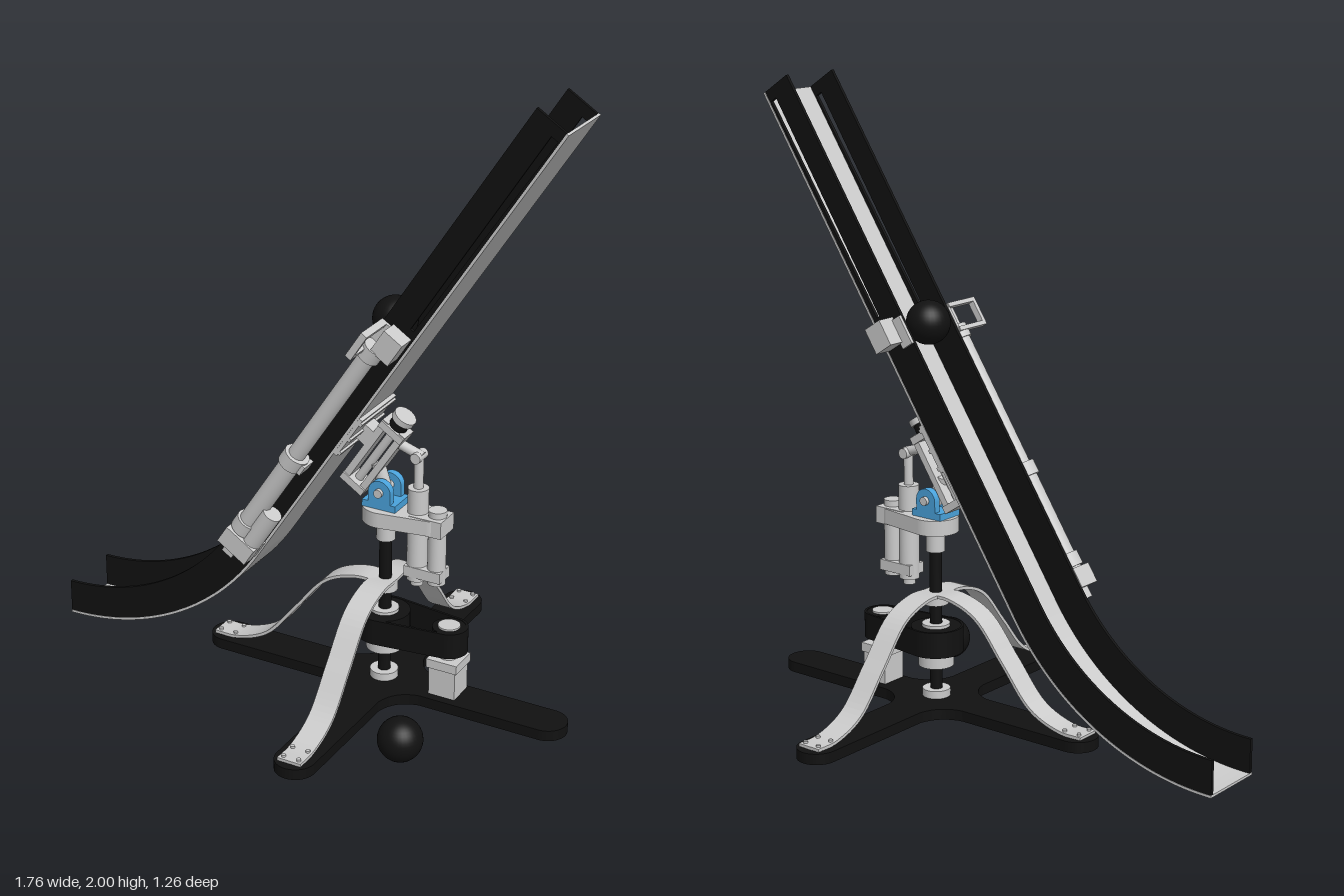
import * as THREE from 'three';

const grey = new THREE.MeshStandardMaterial({ color: 0xcccccc, side: THREE.DoubleSide });
const black = new THREE.MeshStandardMaterial({ color: 0x111111 });
const blue = new THREE.MeshStandardMaterial({ color: 0x4aa3dc });

const TILT = THREE.MathUtils.degToRad(57);
const CX = 0.245; // stand axis

function add(parent, name, geo, mat, x = 0, y = 0, z = 0) {
  const m = new THREE.Mesh(geo, mat);
  m.name = name;
  m.position.set(x, y, z);
  parent.add(m);
  return m;
}
// Box from min/max ranges
function box(parent, name, mat, [x0, x1], [y0, y1], [z0, z1]) {
  return add(parent, name, new THREE.BoxGeometry(x1 - x0, y1 - y0, z1 - z0), mat,
    (x0 + x1) / 2, (y0 + y1) / 2, (z0 + z1) / 2);
}
// Cylinder between two points
function rod(parent, name, mat, a, b, r, seg = 24) {
  const p = new THREE.Vector3(...a), q = new THREE.Vector3(...b), d = q.clone().sub(p);
  const m = add(parent, name, new THREE.CylinderGeometry(r, r, d.length(), seg), mat);
  m.position.copy(p).add(q).multiplyScalar(0.5);
  m.quaternion.setFromUnitVectors(new THREE.Vector3(0, 1, 0), d.normalize());
  return m;
}
const extrude = (shape, depth) =>
  new THREE.ExtrudeGeometry(shape, { depth, bevelEnabled: false, curveSegments: 32 });

// Start of the straight run; slope(u, n) = along and above the ramp floor
const R = 0.867, ARC = { x: -0.88, y: 0.01 + R };
const A = { x: ARC.x + R * Math.sin(TILT), y: ARC.y - R * Math.cos(TILT) };
const LENGTH = 1.827;
const slope = (u, n) => new THREE.Vector2(
  A.x + u * Math.cos(TILT) - n * Math.sin(TILT),
  A.y + u * Math.sin(TILT) + n * Math.cos(TILT));

// Side outline of the ramp between two heights above its floor
function rampShape(n0, n1) {
  const s = new THREE.Shape(), e0 = slope(LENGTH, n0), e1 = slope(LENGTH, n1), t = -Math.PI / 2;
  s.moveTo(ARC.x, ARC.y - R + n0);
  s.absarc(ARC.x, ARC.y, R - n0, t, t + TILT, false);
  s.lineTo(e0.x, e0.y);
  s.lineTo(e1.x, e1.y);
  s.absarc(ARC.x, ARC.y, R - n1, t + TILT, t, true);
  s.closePath();
  return s;
}

function makeRamp() {
  const g = new THREE.Group();
  g.name = 'ramp';
  g.rotation.y = 0.005;
  add(g, 'rampFloor', extrude(rampShape(0, 0.008), 0.224), grey, 0, 0, -0.112);
  const wall = rampShape(0.004, 0.117);
  wall.holes.push(new THREE.Path([slope(1.02, 0.024), slope(1.02, 0.036), slope(1.79, 0.038), slope(1.79, 0.014)]));
  for (const s of [-1, 1]) add(g, 'rampWall', extrude(wall, 0.011), black, 0, 0, s * 0.105 - 0.0055);

  // Everything fixed to the straight run, in slope coordinates
  const m = new THREE.Group();
  m.name = 'rampFittings';
  m.position.set(A.x, A.y, 0);
  m.rotation.z = TILT;
  g.add(m);

  // Side actuator
  const Z = 0.143;
  rod(m, 'actuatorTube', grey, [0.33, 0.085, Z], [0.9, 0.085, Z], 0.028);
  rod(m, 'actuatorBody', grey, [0.06, 0.083, Z], [0.4, 0.083, Z], 0.033);
  rod(m, 'actuatorMotor', grey, [0.0, 0.035, Z + 0.008], [0.2, 0.035, Z + 0.008], 0.032);
  for (const [u, r] of [[0.385, 0.042], [0.07, 0.042], [0.87, 0.036]])
    rod(m, 'actuatorCollar', grey, [u, 0.083, Z], [u + 0.045, 0.083, Z], r);
  box(m, 'gearCase', grey, [0.0, 0.065], [0.005, 0.12], [0.108, 0.188]);
  box(m, 'lowerMount', grey, [-0.035, 0.01], [0.055, 0.095], [0.11, 0.165]);
  box(m, 'tubeClamp', grey, [0.39, 0.425], [0.035, 0.08], [0.11, 0.165]);

  // Ball gate: cheek plates and square handle
  for (const s of [-1, 1]) {
    const z = s > 0 ? [0.111, 0.172] : [-0.175, -0.111];
    box(m, 'gatePlate', grey, [0.91, 0.995], [0.015, 0.085], z);
    box(m, 'gateCheek', grey, [0.89, 0.985], [0.075, 0.118], s > 0 ? [0.111, 0.121] : [-0.121, -0.111]);
  }
  for (const u of [0.897, 0.98]) box(m, 'handleArm', grey, [u - 0.007, u + 0.007], [0.1, 0.122], [0.115, 0.245]);
  box(m, 'handleBar', grey, [0.89, 0.987], [0.1, 0.122], [0.233, 0.247]);

  // Tilt frame below the ramp
  box(m, 'mountPlate', grey, [0.5, 0.66], [-0.012, 0], [-0.111, 0.111]);
  for (const u of [0.515, 0.575, 0.645]) box(m, 'mountRib', grey, [u - 0.006, u + 0.006], [-0.019, -0.01], [-0.111, 0.111]);
  box(m, 'mountPost', grey, [0.54, 0.6], [-0.055, -0.01], [-0.028, 0.028]);
  box(m, 'upperRail', grey, [0.4, 0.66], [-0.068, -0.045], [-0.03, 0.03]);
  box(m, 'lowerRail', grey, [0.4, 0.66], [-0.134, -0.112], [-0.03, 0.03]);
  for (const u of [0.405, 0.645]) box(m, 'frameEnd', grey, [u - 0.012, u + 0.012], [-0.134, -0.045], [-0.036, 0.036]);
  rod(m, 'leadScrew', grey, [0.4, -0.09, 0], [0.66, -0.09, 0], 0.014);
  rod(m, 'knobNeck', black, [0.655, -0.09, 0], [0.685, -0.09, 0], 0.03);
  rod(m, 'knob', grey, [0.685, -0.09, 0], [0.705, -0.09, 0], 0.037);
  return g;
}

// Cross base with round arm ends and filleted inner corners
function makeBase() {
  const s = new THREE.Shape(), w = 0.065, L = 0.63, f = 0.16;
  for (let i = 0; i < 4; i++) {
    const a = i * Math.PI / 2, c = Math.cos(a), d = Math.sin(a);
    const P = (x, y) => [x * c - y * d, x * d + y * c];
    s[i ? 'lineTo' : 'moveTo'](...P(f, -w));
    s.lineTo(...P(L - w, -w));
    s.absarc(...P(L - w, 0), w, a - Math.PI / 2, a + Math.PI / 2, false);
    s.lineTo(...P(f, w));
    s.quadraticCurveTo(...P(w + 0.015, w + 0.015), ...P(w, f));
  }
  const geo = extrude(s, 0.035);
  geo.rotateX(-Math.PI / 2);
  return geo;
}

// Bent flat strip from the stand axis out to a foot
function legGeometry() {
  const curve = new THREE.CatmullRomCurve3([[0, 0.38], [0.085, 0.38], [0.19, 0.34], [0.3, 0.215], [0.41, 0.09],
    [0.52, 0.045], [0.605, 0.042]].map(([x, y]) => new THREE.Vector3(x, y, 0)));
  const pts = curve.getPoints(48), up = [], down = [];
  pts.forEach((p, i) => {
    const t = curve.getTangent(i / 48);
    up.push(new THREE.Vector2(p.x - t.y * 0.005, p.y + t.x * 0.005));
    down.unshift(new THREE.Vector2(p.x + t.y * 0.005, p.y - t.x * 0.005));
  });
  const geo = extrude(new THREE.Shape([...up, ...down]), 0.08);
  geo.translate(0, 0, -0.04);
  return geo;
}

// Outline around two wheels on the x axis
function beltOutline(r0, r1, d, Type) {
  const s = new Type(), a = Math.acos((r0 - r1) / d);
  s.absarc(0, 0, r0, a, 2 * Math.PI - a, false);
  s.absarc(d, 0, r1, -a, a, false);
  s.closePath();
  return s;
}

function makeStand() {
  const g = new THREE.Group();
  g.name = 'stand';
  g.position.x = CX;
  add(g, 'crossBase', makeBase(), black);
  const leg = legGeometry();
  for (const a of [Math.PI / 2, Math.PI, -Math.PI / 2]) {
    const l = new THREE.Group();
    l.name = 'leg';
    l.rotation.y = a;
    g.add(l);
    add(l, 'legStrip', leg, grey);
    for (const r of [0.535, 0.59]) for (const z of [-0.026, 0.026])
      rod(l, 'footBolt', grey, [r, 0.04, z], [r, 0.054, z], 0.007, 10);
  }

  // Turning shaft, pulleys, belt and drive motor
  const col = (name, mat, x, y0, y1, r) => rod(g, name, mat, [x, y0, 0], [x, y1, 0], r);
  col('shaft', black, 0, 0.03, 0.56, 0.02);
  col('shaftCollar', grey, 0, 0.52, 0.59, 0.03);
  col('baseBearing', grey, 0, 0.035, 0.06, 0.045);
  col('pulleyHub', grey, 0, 0.14, 0.19, 0.058);
  col('topBearing', grey, 0, 0.345, 0.38, 0.04);
  const D = 0.225;
  const belt = beltOutline(0.088, 0.06, D, THREE.Shape);
  belt.holes.push(beltOutline(0.08, 0.052, D, THREE.Path));
  const beltGeo = extrude(belt, 0.085);
  beltGeo.rotateX(-Math.PI / 2);
  add(g, 'belt', beltGeo, black, 0, 0.187, 0);
  col('largePulley', black, 0, 0.189, 0.27, 0.081);
  col('smallPulley', black, D, 0.189, 0.27, 0.053);
  col('largePulleyCap', grey, 0, 0.268, 0.28, 0.045);
  col('smallPulleyCap', grey, D, 0.268, 0.276, 0.035);
  col('motorShaft', grey, D, 0.16, 0.2, 0.03);
  box(g, 'driveMotor', grey, [D - 0.045, D + 0.045], [0.04, 0.14], [-0.045, 0.045]);
  box(g, 'motorFlange', grey, [D - 0.052, D + 0.052], [0.135, 0.165], [-0.05, 0.05]);

  // Head plate and hinge
  const plate = beltOutline(0.075, 0.05, 0.155, THREE.Shape);
  const plateGeo = extrude(plate, 0.05);
  plateGeo.rotateX(-Math.PI / 2);
  add(g, 'headPlate', plateGeo, grey, 0, 0.588, 0);
  box(g, 'hingeBase', blue, [-0.06, 0.055], [0.638, 0.66], [-0.048, 0.048]);
  const lug = new THREE.Shape();
  lug.moveTo(-0.038, 0);
  lug.lineTo(0.038, 0);
  lug.lineTo(0.038, 0.04);
  lug.absarc(0, 0.04, 0.038, 0, Math.PI, false);
  const lugGeo = extrude(lug, 0.024);
  for (const z of [-0.048, 0.024]) add(g, 'hingeLug', lugGeo, blue, 0, 0.655, z);
  rod(g, 'hingePin', grey, [0, 0.695, -0.06], [0, 0.695, 0.06], 0.014);
  const tongue = rod(g, 'hingeTongue', grey, [0, 0.68, 0], [-0.03, 0.77, 0], 0.022);
  tongue.scale.z = 0.9;

  // Upright tilt actuator with its motor and link
  const T = 0.11;
  col('tiltCylinder', grey, T, 0.41, 0.72, 0.033);
  col('tiltEnd', grey, T, 0.39, 0.42, 0.02);
  col('tiltRod', grey, T, 0.72, 0.83, 0.015);
  col('tiltMotor', grey, T + 0.067, 0.41, 0.66, 0.029);
  box(g, 'tiltGearCase', grey, [T - 0.03, T + 0.095], [0.425, 0.46], [-0.034, 0.034]);
  box(g, 'tiltBracket', grey, [T - 0.01, T + 0.1], [0.585, 0.64], [-0.045, 0.045]);
  rod(g, 'tiltLink', grey, [T + 0.012, 0.825, 0], [T - 0.065, 0.85, 0], 0.016);
  rod(g, 'tiltLinkPin', grey, [T, 0.825, -0.028], [T, 0.825, 0.028], 0.017);
  return g;
}

export function createModel() {
  const model = new THREE.Group();
  model.name = 'ballRamp';
  model.add(makeRamp(), makeStand());
  const ball = new THREE.SphereGeometry(0.07, 32, 20);
  add(model, 'rampBall', ball, black, 0.268, 1.257, 0);
  add(model, 'looseBall', ball, black, 0.495, 0.072, 0.37);
  return model;
}
